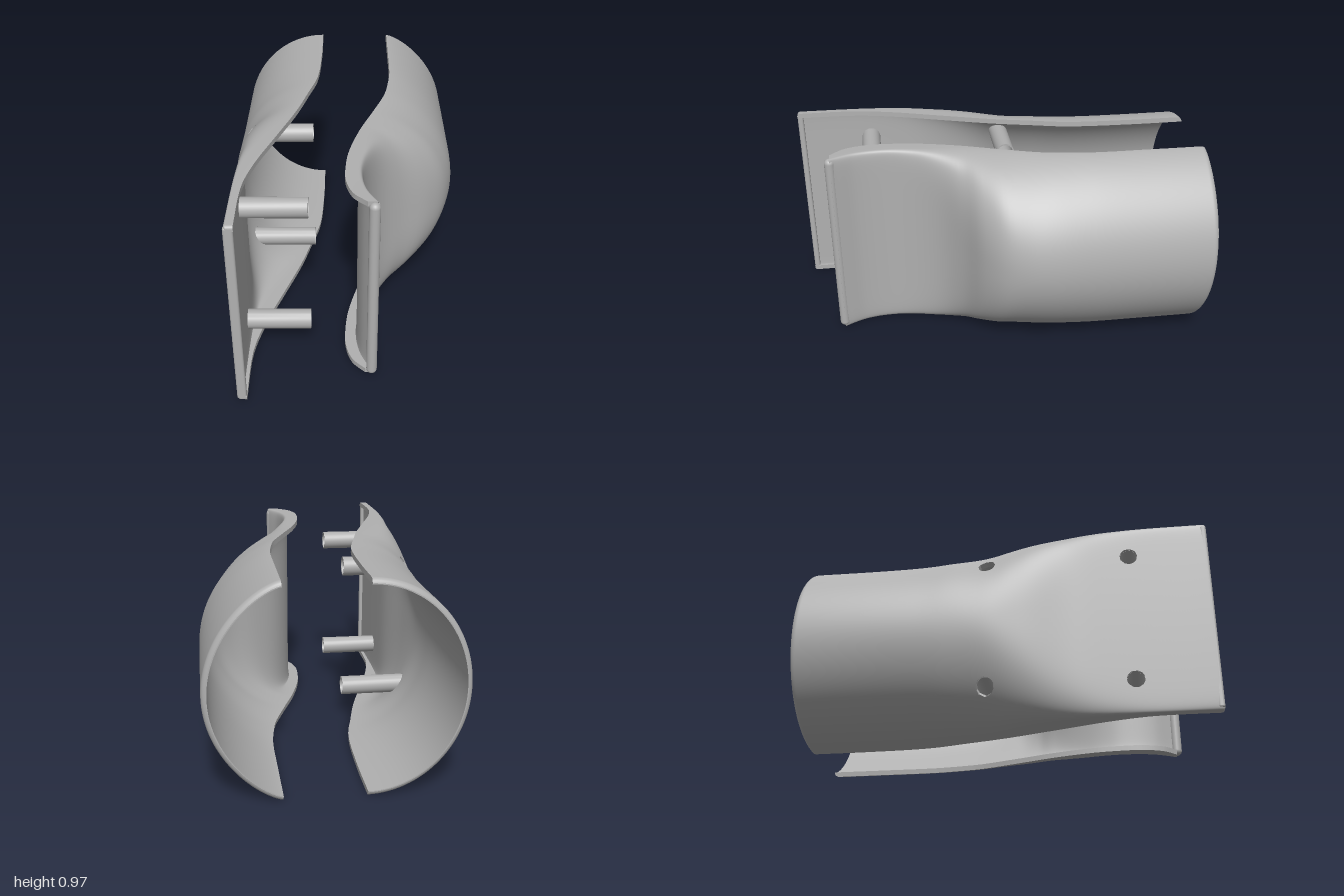
import * as THREE from 'three';
import { toCreasedNormals } from 'three/addons/utils/BufferGeometryUtils.js';
import { RoundedBoxGeometry } from 'three/addons/geometries/RoundedBoxGeometry.js';

const HALF = 0.485; // half height, also the height of the middle line

// Smooth curve through [z, value] points
function curve(points) {
  const slope = (i) => {
    const a = points[Math.max(i - 1, 0)], b = points[Math.min(i + 1, points.length - 1)];
    return (b[1] - a[1]) / (b[0] - a[0]);
  };
  return (z) => {
    let i = 0;
    while (i < points.length - 2 && z > points[i + 1][0]) i++;
    const [z0, v0] = points[i], [z1, v1] = points[i + 1], h = z1 - z0;
    const t = THREE.MathUtils.clamp((z - z0) / h, 0, 1), t2 = t * t, t3 = t2 * t;
    return v0 * (2 * t3 - 3 * t2 + 1) + v1 * (3 * t2 - 2 * t3)
      + h * (slope(i) * (t3 - 2 * t2 + t) + slope(i + 1) * (t3 - t2));
  };
}

// x of the outer face: round section at the back, boxy section at the front
function surface({ edge, outer, power, root }) {
  return (y, z) => {
    const w = Math.min(Math.abs(y / HALF - 1), 1), e = edge(z);
    return e + (outer(z) - e) * Math.pow(1 - Math.pow(w, power(z)), root(z));
  };
}

// Thick curved wall with round holes bored along x
function shellGeometry({ face, side, z0, z1, thickness, roundBack, roundFront, holes }) {
  const rows = 130, cols = 72, pts = [], inside = [], tris = [];
  for (let i = 0; i <= rows; i++) {
    for (let j = 0; j <= cols; j++) {
      let z = z0 + (z1 - z0) * (1 - Math.cos(Math.PI * i / rows)) / 2;
      let y = HALF + HALF * Math.sin(Math.PI * (j / cols - 0.5));
      let hit = -1;
      holes.forEach((h, k) => {
        const dz = z - h.z, dy = y - h.y, d = Math.hypot(dz, dy) || 1e-6;
        if (d < h.r) {
          hit = k;
          z = h.z + dz * h.r / d;
          y = h.y + dy * h.r / d;
        }
      });
      inside.push(hit);
      pts.push(face(y, z), y, z);
    }
  }
  const addTri = (a, b, c) => {
    if (inside[a] >= 0 && inside[b] >= 0 && inside[c] >= 0) return;
    tris.push(side < 0 ? [a, b, c] : [a, c, b]);
  };
  for (let i = 0; i < rows; i++) {
    for (let j = 0; j < cols; j++) {
      const a = i * (cols + 1) + j, b = a + cols + 1;
      addTri(a, b, a + 1);
      addTri(b, b + 1, a + 1);
    }
  }
  const skin = new THREE.BufferGeometry();
  skin.setAttribute('position', new THREE.Float32BufferAttribute(pts, 3));
  skin.setIndex(tris.flat());
  skin.computeVertexNormals();
  const n = skin.attributes.normal.array, count = pts.length / 3;

  // Outer skin eased over at the ends, inner skin offset by the thickness
  const ease = (d, r) => (d < r ? r - Math.sqrt(r * r - (r - d) * (r - d)) : 0);
  const position = [], inner = [], index = [];
  for (let v = 0; v < count; v++) {
    const z = pts[v * 3 + 2];
    const drop = Math.min(ease(z - z0, roundBack) + ease(z1 - z, roundFront), thickness * 0.8);
    for (let k = 0; k < 3; k++) {
      position.push(pts[v * 3 + k] - n[v * 3 + k] * drop);
      inner.push(pts[v * 3 + k] - n[v * 3 + k] * thickness);
    }
  }
  for (const p of inner) position.push(p);
  const edges = new Set();
  for (const [a, b, c] of tris) {
    index.push(a, b, c, a + count, c + count, b + count);
    edges.add(a * count + b).add(b * count + c).add(c * count + a);
  }
  // Rim faces close every open border, hole walls included
  const copy = (v) => {
    position.push(position[v * 3], position[v * 3 + 1], position[v * 3 + 2]);
    return position.length / 3 - 1;
  };
  for (const e of edges) {
    const a = Math.floor(e / count), b = e % count;
    if (edges.has(b * count + a)) continue;
    const [p, q, r, s] = [b, a, a + count, b + count].map(copy);
    index.push(p, q, r, p, r, s);
  }
  const geo = new THREE.BufferGeometry();
  geo.setAttribute('position', new THREE.Float32BufferAttribute(position, 3));
  geo.setIndex(index);
  geo.computeVertexNormals();
  return geo;
}

// Hollow peg whose root follows the shell wall
function pegGeometry(face, y, z, tip) {
  const ring = [[0.041, 0], [0.048, 0], [0.048, 1], [0.041, 1], [0.041, 0]];
  const geo = new THREE.LatheGeometry(ring.map(([r, h]) => new THREE.Vector2(r, h)), 28);
  geo.rotateZ(-Math.PI / 2);
  const p = geo.attributes.position;
  for (let i = 0; i < p.count; i++) {
    const py = p.getY(i) + y, pz = p.getZ(i) + z;
    p.setXYZ(i, p.getX(i) > 0.5 ? tip : face(py, pz) + 0.012, py, pz);
  }
  return toCreasedNormals(geo, 0.6);
}

export function createModel() {
  const model = new THREE.Group();
  const grey = new THREE.MeshStandardMaterial({ color: 0xb0b0b0, side: THREE.DoubleSide });
  grey.name = 'plain grey';
  const add = (name, geometry) => {
    const mesh = new THREE.Mesh(geometry, grey);
    mesh.name = name;
    model.add(mesh);
    return mesh;
  };

  // Right shell: half tube flattening into a plate
  const rightPower = curve([[-1, 2], [-0.3, 2], [0, 2.3], [0.3, 5], [0.5, 10], [0.7, 14], [1, 14]]);
  const rightFace = surface({
    edge: curve([[-1, -0.13], [-0.7, -0.13], [-0.4, -0.145], [-0.2, -0.19], [0, -0.24],
      [0.25, -0.32], [0.5, -0.4], [0.7, -0.44], [1, -0.443]]),
    outer: curve([[-1, -0.575], [-0.4, -0.575], [-0.08, -0.573], [0.1, -0.548], [0.33, -0.5],
      [0.5, -0.49], [1, -0.488]]),
    power: rightPower,
    root: (z) => 1 / rightPower(z),
  });
  const pegs = [];
  for (const z of [0.62, -0.07]) for (const y of [0.81, 0.165]) pegs.push({ y, z, r: 0.042 });
  add('rightShell', shellGeometry({
    face: rightFace, side: -1, z0: -1, z1: 1, thickness: 0.025,
    roundBack: 0.025, roundFront: 0.015, holes: pegs,
  }));
  for (const { y, z } of pegs) add('peg', pegGeometry(rightFace, y, z, -0.16));

  // Raised rim on the front of the plate
  add('plateFrontRim', new RoundedBoxGeometry(0.044, 0.95, 0.03, 3, 0.01))
    .position.set(-0.466, HALF, 0.985);

  // Left shell: half tube pinching in, then curling out at the front
  const leftPower = curve([[-1, 2], [-0.2, 2], [0, 2.2], [0.2, 3.2], [0.4, 8], [0.6, 14], [1, 14]]);
  const leftFace = surface({
    edge: curve([[-1, 0.24], [-0.7, 0.24], [-0.45, 0.238], [-0.3, 0.222], [-0.18, 0.2], [0, 0.14],
      [0.2, 0.07], [0.4, 0.02], [0.55, 0.005], [0.65, 0.008], [0.75, 0.04], [0.815, 0.1]]),
    outer: curve([[-1, 0.575], [-0.4, 0.575], [-0.2, 0.572], [-0.08, 0.553], [0.03, 0.505],
      [0.12, 0.415], [0.19, 0.3], [0.28, 0.195], [0.38, 0.13], [0.5, 0.092], [0.6, 0.087],
      [0.7, 0.104], [0.78, 0.138], [0.815, 0.155]]),
    power: leftPower,
    root: (z) => THREE.MathUtils.lerp(0.72, 1 / leftPower(z), THREE.MathUtils.smoothstep(z, -0.2, 0.4)),
  });
  add('leftShell', shellGeometry({
    face: leftFace, side: 1, z0: -1, z1: 0.815, thickness: 0.025,
    roundBack: 0.025, roundFront: 0, holes: [],
  }));

  // Rounded bead along the curled front edge
  add('leftFrontBead', new THREE.CapsuleGeometry(0.025, 0.91, 8, 20))
    .position.set(0.13, HALF, 0.817);

  return model;
}
